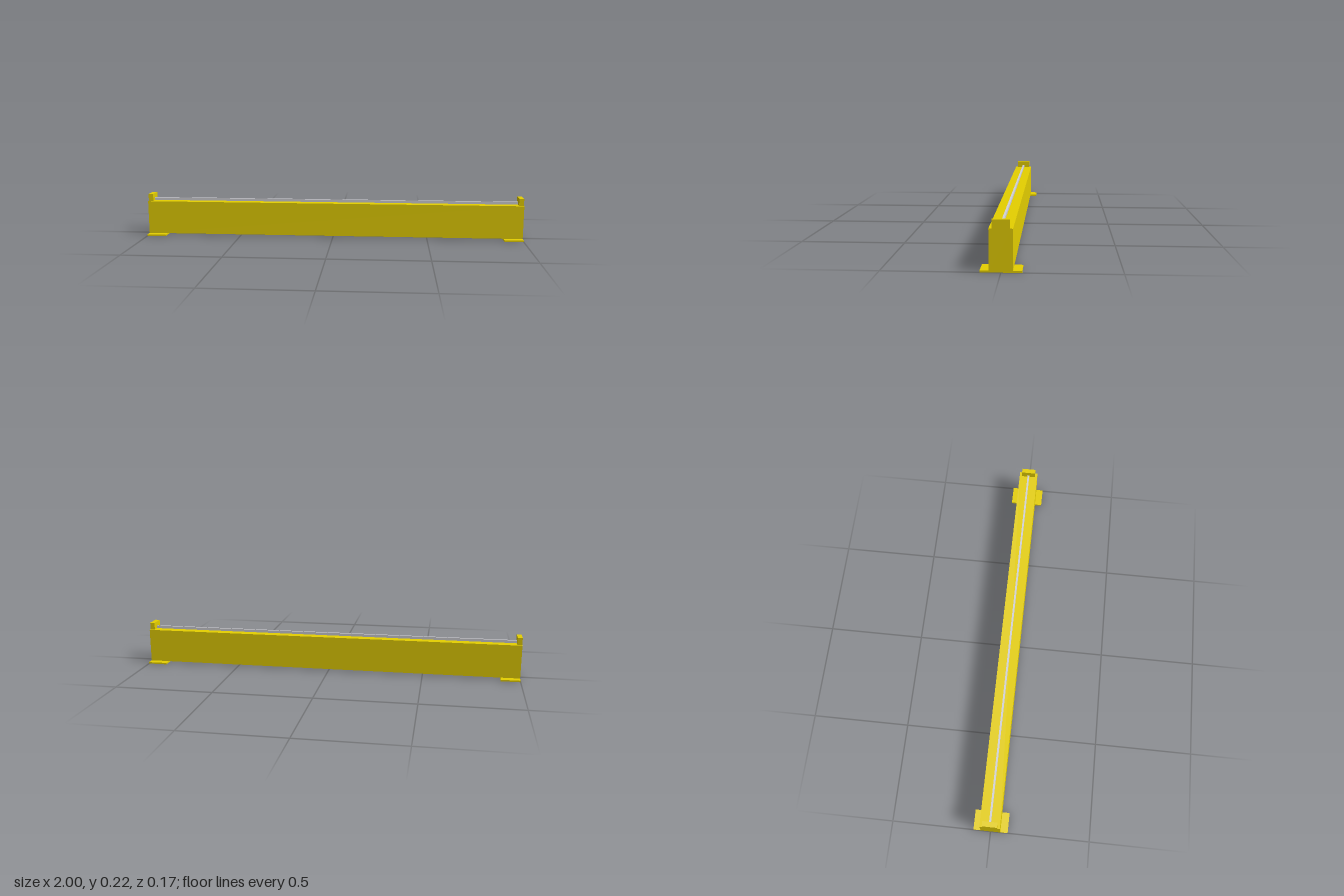
import * as THREE from 'three';

export function createModel() {
  const model = new THREE.Group();
  const yellow = new THREE.MeshStandardMaterial({ color: 0xe6d000 });
  yellow.name = 'yellow paint';
  const steel = new THREE.MeshStandardMaterial({ color: 0xd2d2d8 });
  steel.name = 'light grey steel';

  function box(name, w, h, d, x, y, material) {
    const mesh = new THREE.Mesh(new THREE.BoxGeometry(w, h, d), material);
    mesh.name = name;
    mesh.position.set(x, y + h / 2, 0); // y is the underside
    model.add(mesh);
  }

  // Long girder with the running rail on top
  box('girder', 2, 0.175, 0.1, 0, 0.008, yellow);
  box('rail', 1.95, 0.014, 0.01, 0, 0.183, steel);

  // Flat foot and end stop at each end
  for (const [side, s] of [['left', 1], ['right', -1]]) {
    box(side + 'FootPlate', 0.1, 0.008, 0.174, s * 0.95, 0, yellow);
    box(side + 'EndStop', 0.025, 0.037, 0.074, s * 0.9875, 0.183, yellow);
  }

  return model;
}
